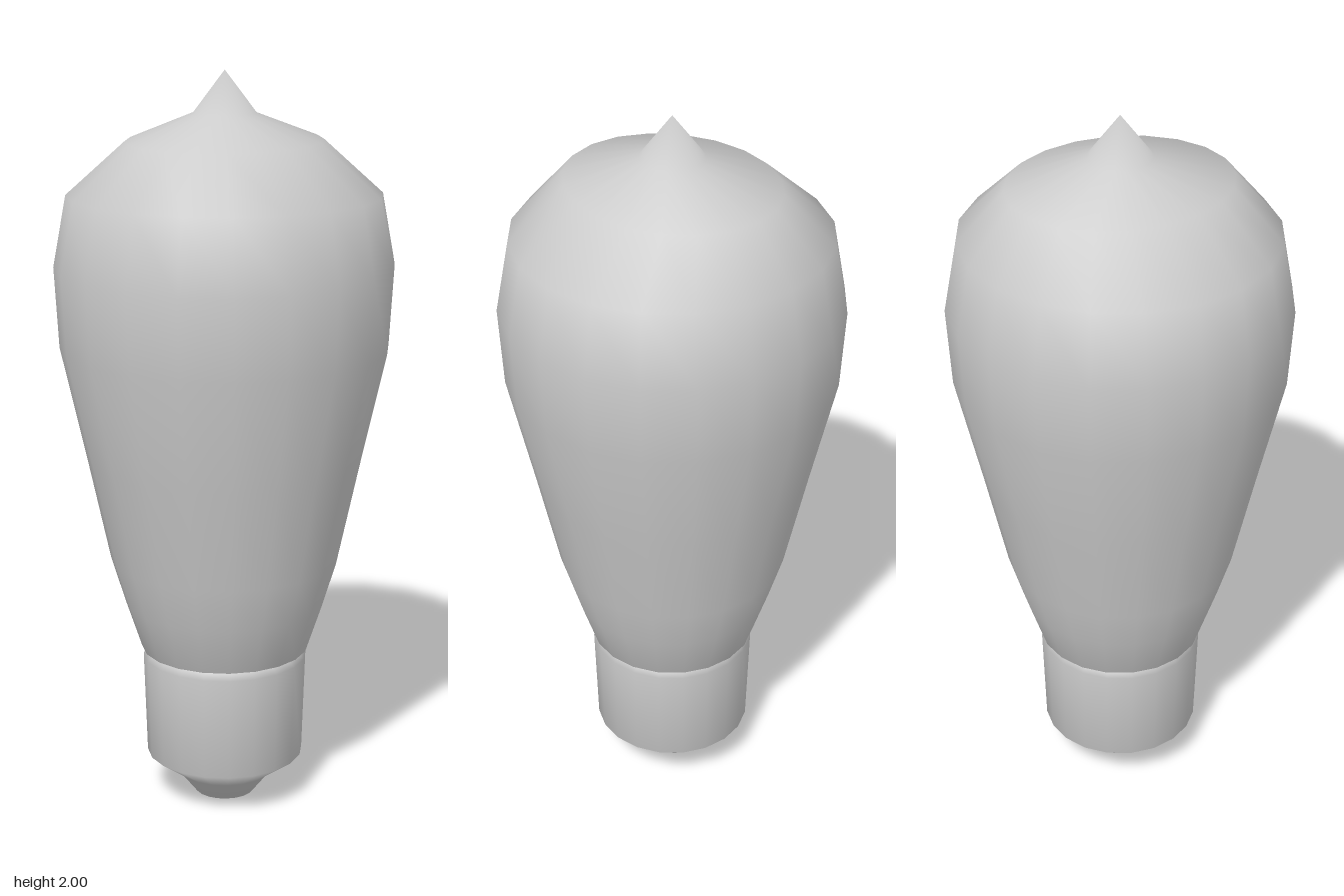
import * as THREE from 'three';
import { mergeVertices } from 'three/addons/utils/BufferGeometryUtils.js';

const SIDES = 20;
const material = new THREE.MeshStandardMaterial({ color: 0xcccccc });

// Turns a bottom-to-top [radius, y] profile into a seamless smooth part.
function turned(name, profile, reshape) {
  let geometry = new THREE.LatheGeometry(
    profile.map(([r, y]) => new THREE.Vector2(r, y)), SIDES);
  if (reshape) reshape(geometry.attributes.position);
  geometry.deleteAttribute('uv');
  geometry.deleteAttribute('normal');
  geometry = mergeVertices(geometry, 1e-4);
  geometry.computeVertexNormals();
  const mesh = new THREE.Mesh(geometry, material);
  mesh.name = name;
  return mesh;
}

// The upper shoulder ring is slightly oval, narrower across x.
function ovalShoulder(position) {
  for (let i = 0; i < position.count; i++) {
    if (Math.abs(position.getY(i) - 1.82) < 0.01) {
      position.setX(i, position.getX(i) * 0.86);
    }
  }
}

export function createModel() {
  const group = new THREE.Group();
  group.name = 'lightBulb';

  // Glass envelope with pointed tip
  group.add(turned('glassBulb', [
    [0.205, 0.425], [0.228, 0.432], [0.272, 0.565], [0.31, 0.69], [0.37, 0.97],
    [0.438, 1.275], [0.45, 1.49], [0.415, 1.68], [0.297, 1.82],
    [0.083, 1.89], [0, 2],
  ], ovalShoulder));

  // Base cap with a tapered contact at the bottom
  group.add(turned('baseCap', [
    [0, 0], [0.082, 0.004], [0.13, 0.065], [0.215, 0.125],
    [0.224, 0.408], [0.205, 0.425],
  ]));

  return group;
}
